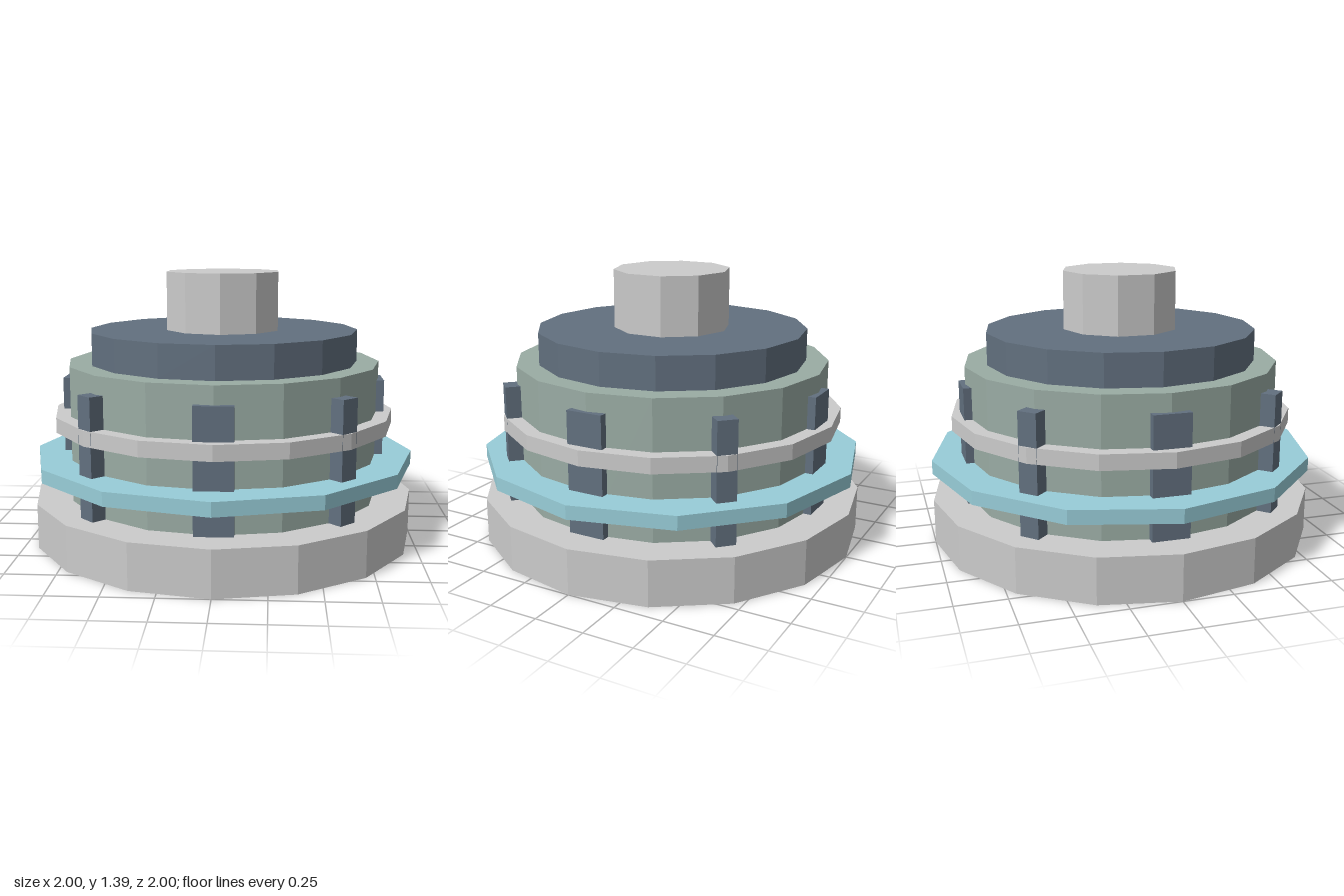
import * as THREE from 'three';

const mat = (color) => new THREE.MeshStandardMaterial({ color, flatShading: true });

export function createModel() {
  const model = new THREE.Group();
  model.name = 'tieredDrum';

  const grey = mat(0xcccccc);
  const green = mat(0x9aaca4);
  const slate = mat(0x62707f);
  const teal = mat(0x98cdd8);

  // Faceted disc spanning bottom..top
  function disc(name, radius, bottom, top, sides, material) {
    const mesh = new THREE.Mesh(
      new THREE.CylinderGeometry(radius, radius, top - bottom, sides), material);
    mesh.name = name;
    mesh.position.y = (bottom + top) / 2;
    model.add(mesh);
  }

  // Stacked tiers
  disc('base', 1, 0, 0.23, 16, grey);
  disc('body', 0.815, 0.23, 0.925, 16, green);
  disc('upperTier', 0.7, 0.925, 1.09, 16, slate);
  disc('topCap', 0.3, 1.09, 1.39, 10, grey);

  // Bands around the body
  disc('lowerBand', 1, 0.375, 0.445, 12, teal);
  disc('upperBand', 0.89, 0.595, 0.672, 16, grey);

  // Eight upright ribs: flat-on along the axes, edge-on at the diagonals
  const ribs = new THREE.Group();
  ribs.name = 'ribs';
  const ribGeometry = new THREE.BoxGeometry(0.187, 0.605, 0.1);
  for (let i = 0; i < 8; i++) {
    const angle = (i * Math.PI) / 4;
    const rib = new THREE.Mesh(ribGeometry, slate);
    rib.name = 'rib' + (i + 1);
    rib.position.set(Math.sin(angle) * 0.787, 0.5325, Math.cos(angle) * 0.787);
    rib.rotation.y = angle + (i % 2 ? Math.PI / 2 : 0);
    ribs.add(rib);
  }
  model.add(ribs);

  return model;
}
